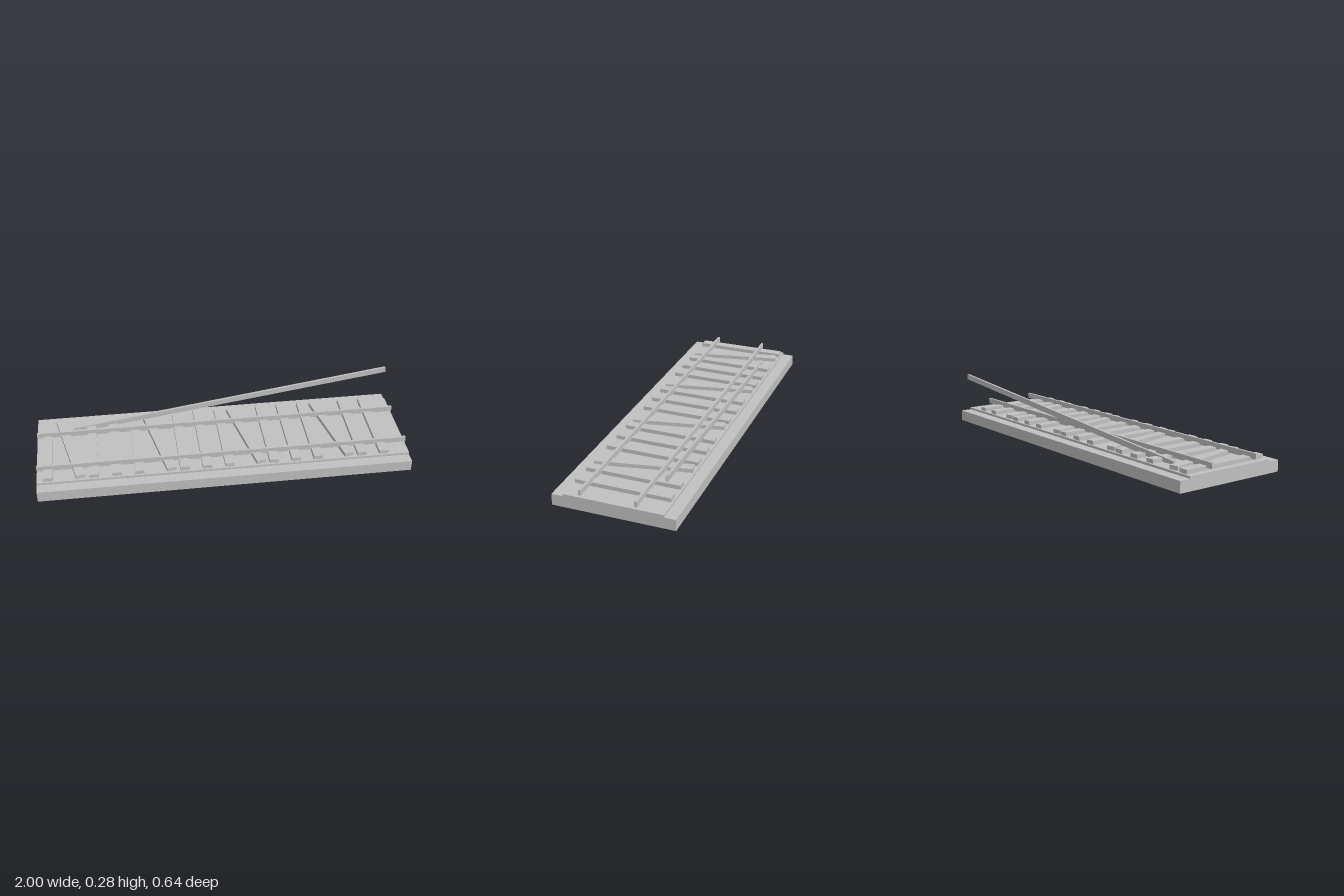
import * as THREE from 'three';

export function createModel() {
  const model = new THREE.Group();
  const grey = new THREE.MeshStandardMaterial({ color: 0xc0c0c0 });
  grey.name = 'plain grey';

  // Box of a given size centred on a point
  function box(name, size, position) {
    const mesh = new THREE.Mesh(new THREE.BoxGeometry(...size), grey);
    mesh.name = name;
    mesh.position.set(...position);
    model.add(mesh);
    return mesh;
  }

  // Ground slab with a raised track bed
  box('groundSlab', [2, 0.06, 0.64], [0, 0.03, 0]);
  box('trackBed', [2, 0.014, 0.52], [0, 0.065, 0]);

  // Sleepers: every fourth one is knocked askew
  for (let i = 0; i < 16; i++) {
    const askew = i % 4 === 1;
    const sleeper = box(askew ? 'askewSleeper' : 'sleeper', [0.05, 0.023, 0.5], [-0.94 + i * 0.12, 0.0815, 0]);
    if (askew) sleeper.rotation.y = 0.2;
  }

  // Two rails in place
  box('frontRail', [2, 0.03, 0.013], [0, 0.099, 0.169]);
  box('backRail', [2, 0.03, 0.013], [0, 0.099, -0.119]);

  // Loose rail lifting away towards one end
  const loose = box('looseRail', [1.8, 0.03, 0.013], [0.097, 0.17, -0.226]);
  loose.rotation.set(0, 0.053, 0.106);

  return model;
}
